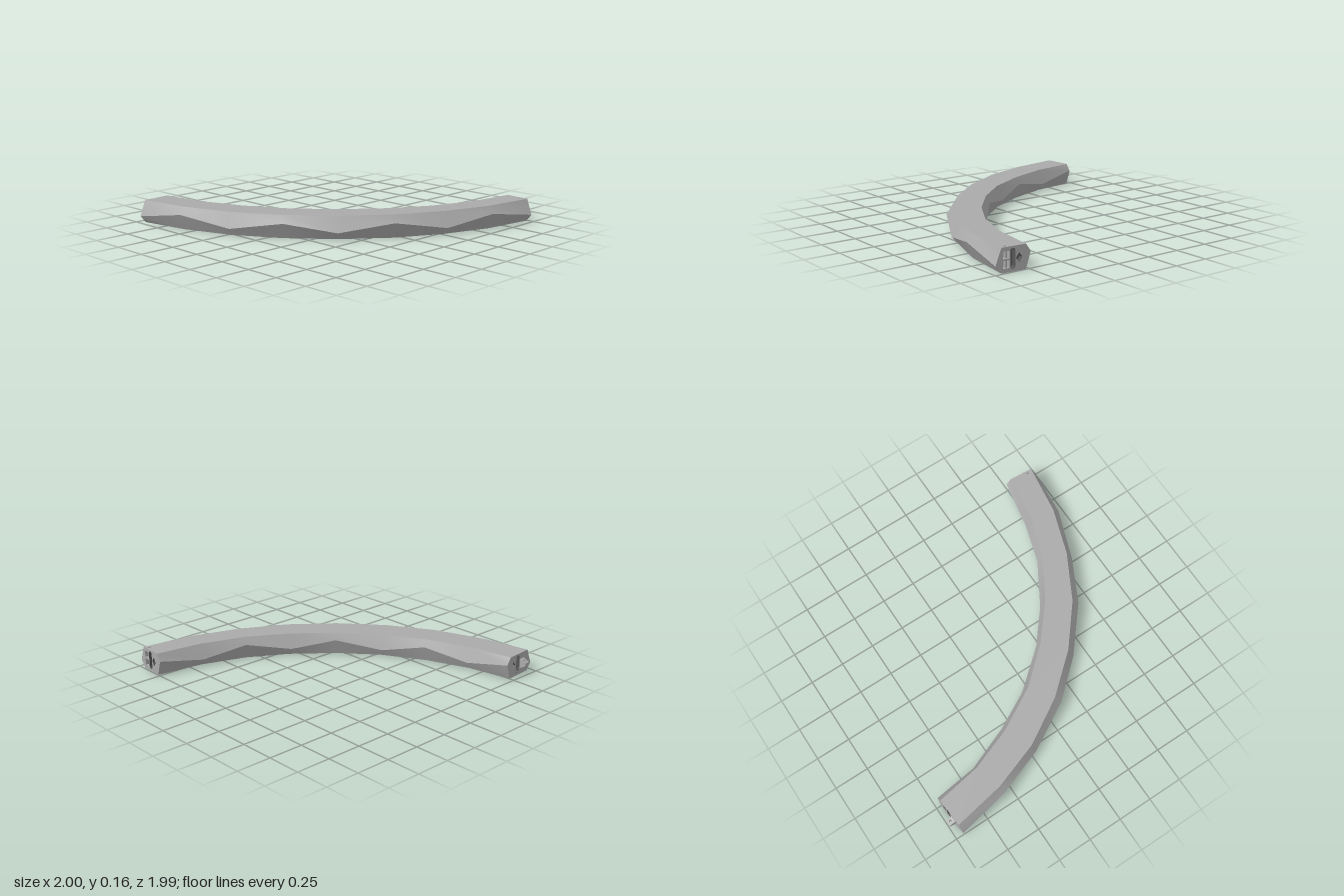
import * as THREE from 'three';

const grey = new THREE.MeshStandardMaterial({ color: 0xaaaaaa, side: THREE.DoubleSide });
grey.name = 'light grey';
const dark = new THREE.MeshStandardMaterial({ color: 0x565656, side: THREE.DoubleSide });
dark.name = 'dark grey';

const HEIGHT = 0.16, LOW = 0.05, HIGH = 0.11;

// plan curves [x, z] of the bar, from the back end to the front end
const outerRidge = [[-1, -0.945], [-0.935, -0.57], [-0.8, -0.215], [-0.615, 0.12], [-0.37, 0.395],
  [-0.075, 0.64], [0.26, 0.82], [0.605, 0.935], [0.985, 0.99]];
const outerEdge = [[-0.955, -0.948], [-0.89, -0.58], [-0.77, -0.235], [-0.58, 0.085], [-0.34, 0.365],
  [-0.053, 0.6], [0.275, 0.777], [0.615, 0.893], [0.988, 0.947]];
const innerEdge = [[-0.75, -0.963], [-0.695, -0.635], [-0.583, -0.33], [-0.417, -0.03], [-0.197, 0.225],
  [0.064, 0.445], [0.342, 0.61], [0.663, 0.722], [0.998, 0.772]];
const innerRidge = [[-0.715, -0.965], [-0.663, -0.645], [-0.55, -0.337], [-0.395, -0.06], [-0.18, 0.203],
  [0.07, 0.41], [0.358, 0.578], [0.668, 0.685], [1, 0.737]];

function add(parent, name, geometry, material = grey) {
  const mesh = new THREE.Mesh(geometry, material);
  mesh.name = name;
  parent.add(mesh);
  return mesh;
}

// surface between two rows of 3D points
function strip(a, b, smooth = true) {
  const n = a.length, index = [];
  for (let i = 0; i < n - 1; i++) index.push(i, i + 1, n + i, i + 1, n + i + 1, n + i);
  let g = new THREE.BufferGeometry();
  g.setAttribute('position', new THREE.Float32BufferAttribute([...a, ...b].flat(), 3));
  g.setIndex(index);
  if (!smooth) g = g.toNonIndexed();
  g.computeVertexNormals();
  return g;
}

const level = (row, y) => row.map(([x, z]) => [x, y, z]);
const zigzag = (row, even, odd) => row.map(([x, z], i) => [x, i % 2 ? odd : even, z]);
const vec = (pts) => pts.map(([x, y]) => new THREE.Vector2(x, y));

const rect = (x0, x1, y0, y1) => [[x0, y0], [x1, y0], [x1, y1], [x0, y1]];

function circle(cx, cy, r, n = 12) {
  return Array.from({ length: n }, (_, i) => {
    const t = (i / n) * Math.PI * 2;
    return [cx + r * Math.cos(t), cy + r * Math.sin(t)];
  });
}

// upright slot with round ends
function slot(x0, x1, y0, y1) {
  const r = (x1 - x0) / 2, pts = [];
  for (let i = 0; i <= 6; i++) {
    const t = (i / 6) * Math.PI;
    pts.push([x0 + r + r * Math.cos(t), y1 - r + r * Math.sin(t)]);
  }
  for (let i = 0; i <= 6; i++) {
    const t = Math.PI + (i / 6) * Math.PI;
    pts.push([x0 + r + r * Math.cos(t), y0 + r + r * Math.sin(t)]);
  }
  return pts;
}

const diamond = (cx, cy, rx, ry) => [[cx + rx, cy], [cx, cy + ry], [cx - rx, cy], [cx, cy - ry]];

// one end face with recessed pockets; its local +z points out of the bar
function endFace(name, a, ea, eb, b, ya, yb, pockets) {
  const end = new THREE.Group();
  end.name = name;
  const dx = b[0] - a[0], dz = b[1] - a[1], width = Math.hypot(dx, dz);
  const along = (p) => ((p[0] - a[0]) * dx + (p[1] - a[1]) * dz) / width;
  end.position.set(a[0], 0, a[1]);
  end.rotation.y = Math.atan2(-dz, dx);

  const shape = new THREE.Shape(vec([[0, ya], [along(ea), 0], [along(eb), 0], [width, yb],
    [along(eb), HEIGHT], [along(ea), HEIGHT]]));
  for (const p of pockets) shape.holes.push(new THREE.Path(vec(p.outline)));
  add(end, name + 'Plate', new THREE.ShapeGeometry(shape));

  for (const { outline, depth, material, label } of pockets) {
    const loop = [...outline, outline[0]];
    add(end, label + 'Wall', strip(loop.map(([x, y]) => [x, y, 0]),
      loop.map(([x, y]) => [x, y, -depth]), false), material);
    add(end, label + 'Floor', new THREE.ShapeGeometry(new THREE.Shape(vec(outline))), material)
      .position.z = -depth;
  }
  return end;
}

// tapered tongue with an upright pin hole
function tongueGeometry(width, length) {
  const shape = new THREE.Shape(vec(rect(0, width, -length, 0)));
  shape.holes.push(new THREE.Path(vec(circle(width / 2, -length * 0.55, 0.011))));
  const g = new THREE.ExtrudeGeometry(shape, { depth: 2, bevelEnabled: false });
  g.translate(0, 0, -1).rotateX(-Math.PI / 2);
  const p = g.attributes.position;
  for (let i = 0; i < p.count; i++) {
    const half = 0.035 - 0.025 * (p.getZ(i) / length);
    p.setY(i, 0.08 + p.getY(i) * half);
  }
  g.computeVertexNormals();
  return g;
}

export function createModel() {
  const model = new THREE.Group();
  model.name = 'curvedBar';

  // faceted sides: each meets in a zigzag ridge
  const outer = zigzag(outerRidge, LOW, HIGH), inner = zigzag(innerRidge, HIGH, LOW);
  add(model, 'outerLowerSide', strip(level(outerEdge, 0), outer));
  add(model, 'outerUpperSide', strip(outer, level(outerEdge, HEIGHT)));
  add(model, 'innerLowerSide', strip(inner, level(innerEdge, 0)));
  add(model, 'innerUpperSide', strip(level(innerEdge, HEIGHT), inner));

  // flat top and bottom, pierced by the pin hole
  const plan = [...outerEdge, ...[...innerEdge].reverse()];
  const pin = circle(0.968, 0.905, 0.01);
  for (const [name, y, s] of [['top', HEIGHT, -1], ['bottom', 0, 1]]) {
    const flip = ([x, z]) => [x, s * z];
    const shape = new THREE.Shape(vec(plan.map(flip)));
    shape.holes.push(new THREE.Path(vec(pin.map(flip))));
    add(model, name, new THREE.ShapeGeometry(shape).rotateX(s * Math.PI / 2)).position.y = y;
  }
  const ring = [...pin, pin[0]];
  add(model, 'pinHole', strip(level(ring, 0), level(ring, HEIGHT)));

  // front end: two square sockets, a slot and a diamond
  const last = outerRidge.length - 1;
  model.add(endFace('socketEnd', outerRidge[last], outerEdge[last], innerEdge[last], innerRidge[last],
    LOW, HIGH, [
      { label: 'upperSocket', outline: rect(0.055, 0.1, 0.087, 0.134), depth: 0.045, material: grey },
      { label: 'lowerSocket', outline: rect(0.055, 0.1, 0.027, 0.075), depth: 0.045, material: grey },
      { label: 'slot', outline: slot(0.107, 0.143, 0.015, 0.148), depth: 0.04, material: dark },
      { label: 'diamond', outline: diamond(0.17, 0.082, 0.023, 0.032), depth: 0.03, material: dark },
    ]));

  // back end: matching slot and diamond beside a tongue
  const back = endFace('tongueEnd', innerRidge[0], innerEdge[0], outerEdge[0], outerRidge[0],
    HIGH, LOW, [
      { label: 'slot', outline: slot(0.107, 0.143, 0.015, 0.148), depth: 0.04, material: dark },
      { label: 'diamond', outline: diamond(0.077, 0.082, 0.023, 0.032), depth: 0.03, material: dark },
    ]);
  add(back, 'tongue', tongueGeometry(0.045, 0.045)).position.x = 0.155;
  model.add(back);

  return model;
}
